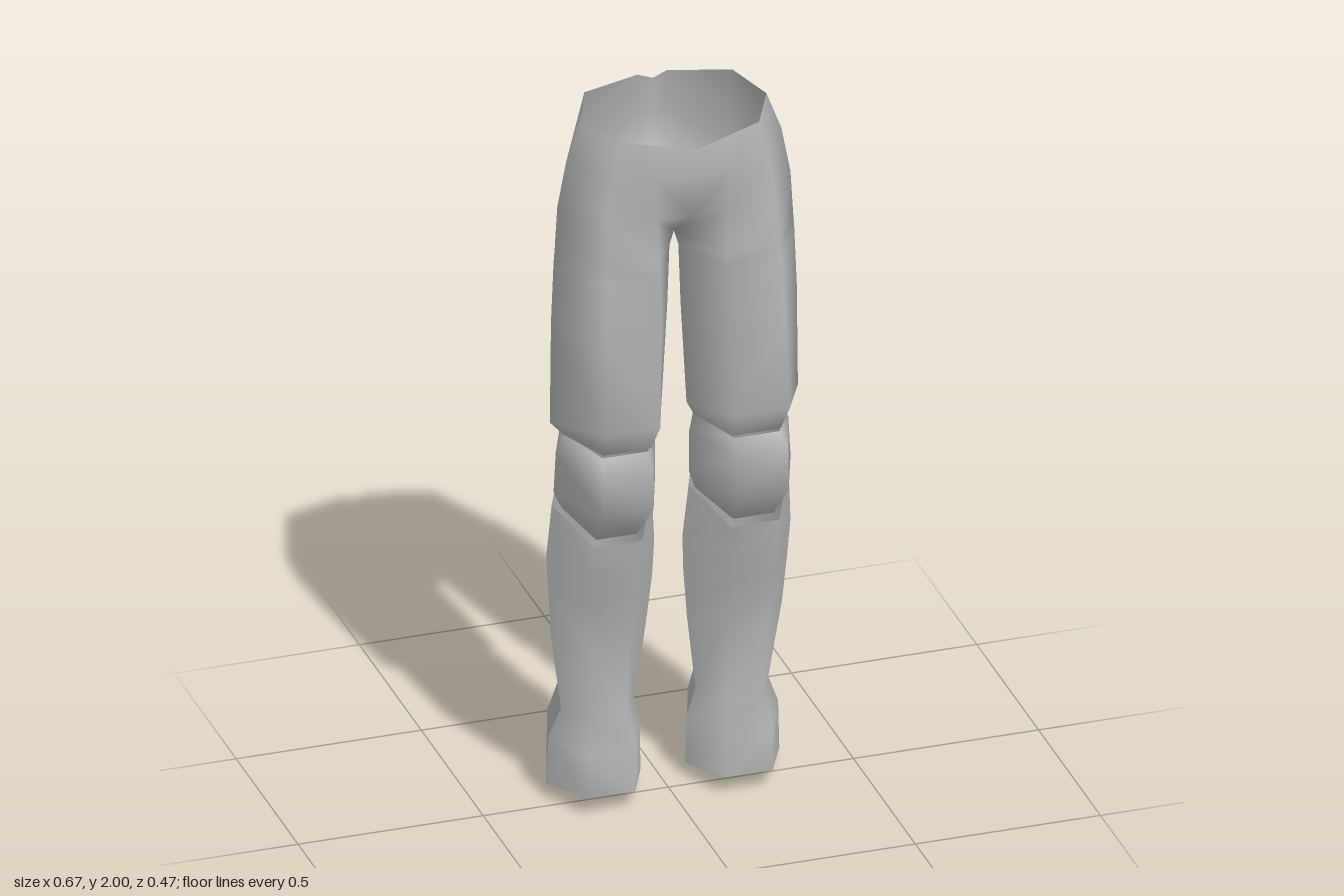
import * as THREE from 'three';
import { mergeGeometries, mergeVertices } from 'three/addons/utils/BufferGeometryUtils.js';

// Six-sided leg section, running inner > front > outer > back > inner.
// yf and yb shift the front and back edges up or down.
function ring(y, xi, xo, zs, fi, fo, zf, bi, bo, zb, yf = 0, yb = 0) {
  return [
    [xi, y, zs], [fi, y + yf, zf], [fo, y + yf, zf],
    [xo, y, zs], [bo, y + yb, zb], [bi, y + yb, zb], [xi, y, zs],
  ];
}

// Skin between sections, for one side (+1 left, -1 right)
function loft(rows, side) {
  const n = rows[0].length;
  const index = [];
  for (let r = 0; r < rows.length - 1; r++) {
    for (let c = 0; c < n - 1; c++) {
      const a = r * n + c, b = a + 1, d = a + n, e = d + 1;
      if (side > 0) index.push(a, d, b, b, d, e);
      else index.push(a, b, d, b, e, d);
    }
  }
  const points = rows.flat().map(([x, y, z]) => [x * side, y, z]).flat();
  const geometry = new THREE.BufferGeometry();
  geometry.setAttribute('position', new THREE.Float32BufferAttribute(points, 3));
  geometry.setIndex(index);
  return geometry;
}

function smooth(geometry) {
  const merged = mergeVertices(geometry, 1e-4);
  merged.computeVertexNormals();
  return merged;
}

export function createModel() {
  const group = new THREE.Group();
  const cloth = new THREE.MeshStandardMaterial({ color: 0xb8b8b8, side: THREE.DoubleSide });
  cloth.name = 'grey cloth';

  function add(name, geometry) {
    const mesh = new THREE.Mesh(smooth(geometry), cloth);
    mesh.name = name;
    group.add(mesh);
  }

  // Hips open at the waist, closing at the crotch and running on into the thighs
  const hips = [
    [[0, 1.955, 0.23], [0.09, 1.967, 0.207], [0.185, 1.98, 0.18], [0.25, 1.985, 0.045],
      [0.2, 2, -0.08], [0.04, 2, -0.13], [0, 1.987, -0.125]],
    [[0, 1.87, 0.235], [0.1, 1.875, 0.215], [0.21, 1.88, 0.185], [0.29, 1.88, 0.045],
      [0.205, 1.88, -0.115], [0.05, 1.88, -0.152], [0, 1.88, -0.138]],
    [[0, 1.74, 0.185], [0.095, 1.75, 0.2], [0.225, 1.75, 0.192], [0.315, 1.75, 0.045],
      [0.212, 1.76, -0.13], [0.055, 1.78, -0.168], [0, 1.75, -0.13]],
    ring(1.63, 0, 0.322, 0.045, 0.09, 0.235, 0.205, 0.085, 0.217, -0.125),
  ];
  const thigh = [
    ring(1.59, 0.012, 0.325, 0.045, 0.09, 0.236, 0.208, 0.087, 0.218, -0.123),
    ring(1.42, 0.018, 0.332, 0.045, 0.092, 0.242, 0.222, 0.09, 0.225, -0.118),
    ring(1.13, 0.034, 0.335, 0.045, 0.1, 0.25, 0.235, 0.09, 0.228, -0.112, 0.04, 0.07),
    ring(1.08, 0.06, 0.292, 0.03, 0.11, 0.24, 0.19, 0.105, 0.235, -0.134, 0.01, 0.02),
  ];
  add('hipsAndThighs', mergeGeometries([1, -1].map((s) => loft([...hips, ...thigh], s))));

  // Rounded knees
  const knee = [
    ring(1.08, 0.062, 0.288, 0.03, 0.115, 0.24, 0.185, 0.105, 0.235, -0.132, 0, 0.02),
    ring(1.035, 0.046, 0.314, 0.03, 0.115, 0.25, 0.222, 0.11, 0.24, -0.11, 0.01, 0.01),
    ring(0.92, 0.046, 0.32, 0.03, 0.115, 0.25, 0.225, 0.11, 0.245, -0.12, 0.01, 0.02),
    ring(0.865, 0.065, 0.295, 0.02, 0.13, 0.24, 0.135, 0.115, 0.25, -0.16, -0.045, -0.02),
  ];

  // Shins with calves, narrow ankles and open flared cuffs
  const shin = [
    ring(0.875, 0.05, 0.32, 0.015, 0.12, 0.25, 0.15, 0.115, 0.25, -0.158, -0.07, -0.035),
    ring(0.72, 0.038, 0.33, 0, 0.13, 0.25, 0.135, 0.115, 0.255, -0.18),
    ring(0.62, 0.042, 0.323, -0.005, 0.13, 0.245, 0.108, 0.115, 0.255, -0.19, 0, 0.01),
    ring(0.48, 0.055, 0.312, -0.015, 0.13, 0.24, 0.075, 0.12, 0.25, -0.178),
    ring(0.26, 0.083, 0.28, -0.03, 0.135, 0.232, 0.068, 0.135, 0.235, -0.155, 0, 0.04),
    ring(0.18, 0.064, 0.31, -0.04, 0.12, 0.25, 0.1, 0.13, 0.25, -0.232, 0, -0.03),
    ring(0.04, 0.06, 0.315, -0.045, 0.12, 0.25, 0.095, 0.14, 0.245, -0.21, 0.015, -0.04),
  ];

  for (const [name, side] of [['left', 1], ['right', -1]]) {
    add(`${name}Knee`, loft(knee, side));
    // Side seams divide front from back
    add(`${name}ShinFront`, loft(shin.map((row) => row.slice(0, 4)), side));
    add(`${name}Calf`, loft(shin.map((row) => row.slice(3)), side));
  }
  return group;
}
